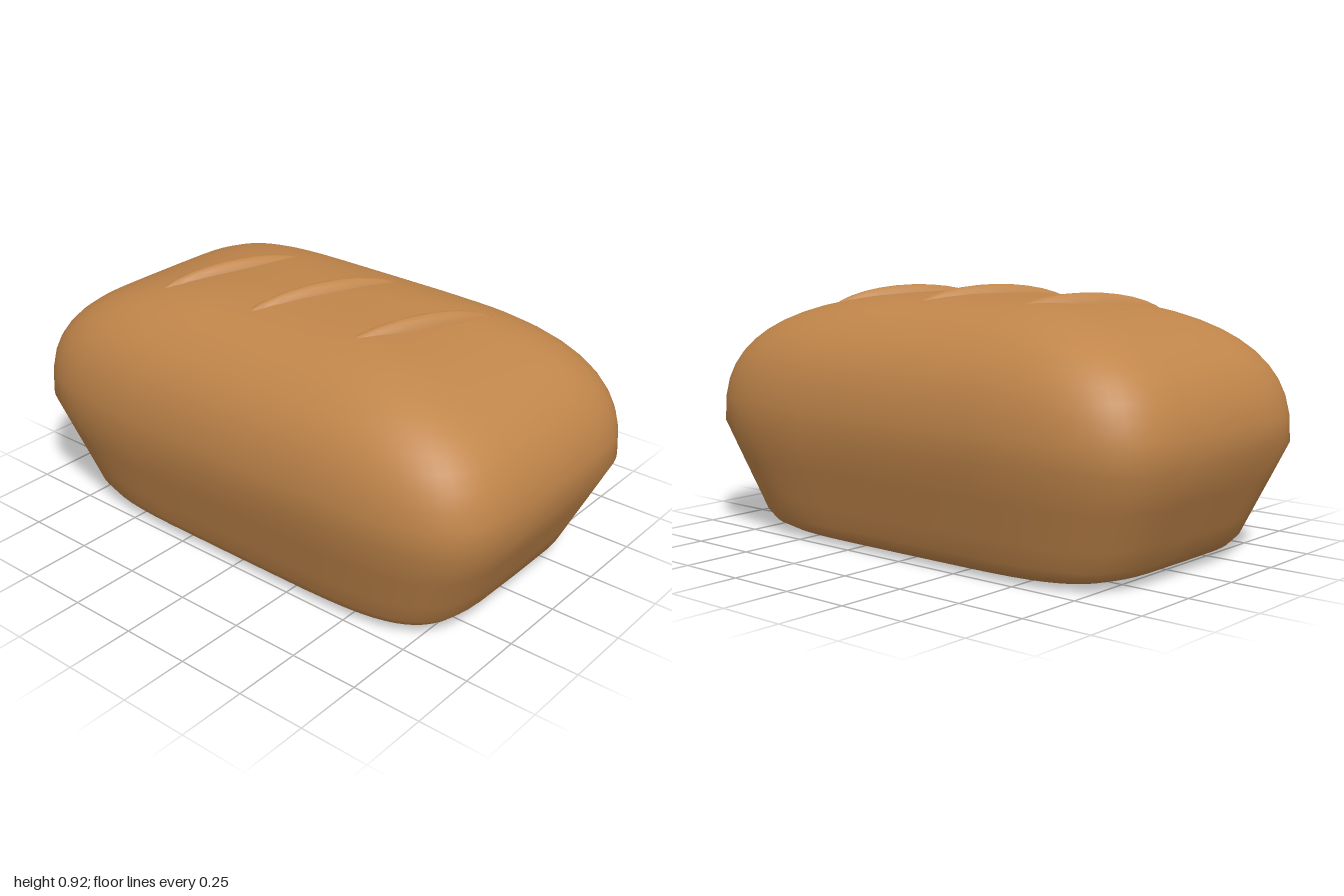
import * as THREE from 'three';

const SEGMENTS = 64;

// Rounded-rectangle ring (superellipse) at height y
function ring(halfX, halfZ, y) {
  const power = 2 / 5;
  const soft = (v) => Math.sign(v) * Math.pow(Math.abs(v), power);
  const points = [];
  for (let i = 0; i < SEGMENTS; i++) {
    const a = (i / SEGMENTS) * Math.PI * 2;
    points.push([halfX * soft(Math.cos(a)), y, halfZ * soft(Math.sin(a))]);
  }
  return points;
}

// Closed smooth skin over a stack of rings, bottom to top
function loft(rings, bottomY, topY) {
  const positions = [...rings.flat(2), 0, bottomY, 0, 0, topY, 0];
  const bottom = rings.length * SEGMENTS;
  const top = bottom + 1;
  const last = (rings.length - 1) * SEGMENTS;
  const index = [];
  for (let i = 0; i < SEGMENTS; i++) {
    const j = (i + 1) % SEGMENTS;
    index.push(bottom, i, j, top, last + j, last + i);
    for (let r = 0; r < rings.length - 1; r++) {
      const a = r * SEGMENTS + i, b = r * SEGMENTS + j;
      index.push(a, a + SEGMENTS, b, b, a + SEGMENTS, b + SEGMENTS);
    }
  }
  const geometry = new THREE.BufferGeometry();
  geometry.setAttribute('position', new THREE.Float32BufferAttribute(positions, 3));
  geometry.setIndex(index);
  geometry.computeVertexNormals();
  return geometry;
}

export function createModel() {
  const group = new THREE.Group();
  group.name = 'breadLoaf';
  const crust = new THREE.MeshStandardMaterial({ color: 0xc0854a });
  crust.name = 'crust';

  // Tapered, tin-shaped lower half: half width, half depth, height
  const rings = [
    [0.4, 0.25, 0.002], [0.64, 0.41, 0.006], [0.75, 0.46, 0.016], [0.81, 0.487, 0.035],
    [0.845, 0.507, 0.07], [0.88, 0.528, 0.145], [0.94, 0.564, 0.272], [1, 0.6, 0.4],
  ].map(([x, z, y]) => ring(x, z, y));

  // Domed upper half
  const domeSteps = 14, domeHeight = 0.49, domePower = 2 / 2.65;
  for (let i = 1; i < domeSteps; i++) {
    const a = (i / domeSteps) * Math.PI / 2;
    const s = Math.pow(Math.cos(a), domePower);
    rings.push(ring(s, 0.6 * s, 0.4 + domeHeight * Math.pow(Math.sin(a), domePower)));
  }
  const loaf = new THREE.Mesh(loft(rings, 0, 0.4 + domeHeight), crust);
  loaf.name = 'loaf';
  group.add(loaf);

  // Three slanted ridges where the crust was scored
  const ridge = new THREE.SphereGeometry(1, 24, 16).scale(0.05, 0.12, 0.35);
  for (const [x, y] of [[-0.4, 0.785], [0, 0.8], [0.4, 0.785]]) {
    const score = new THREE.Mesh(ridge, crust);
    score.name = 'scoreRidge';
    score.position.set(x, y, 0);
    score.rotation.y = -0.4;
    group.add(score);
  }
  return group;
}
